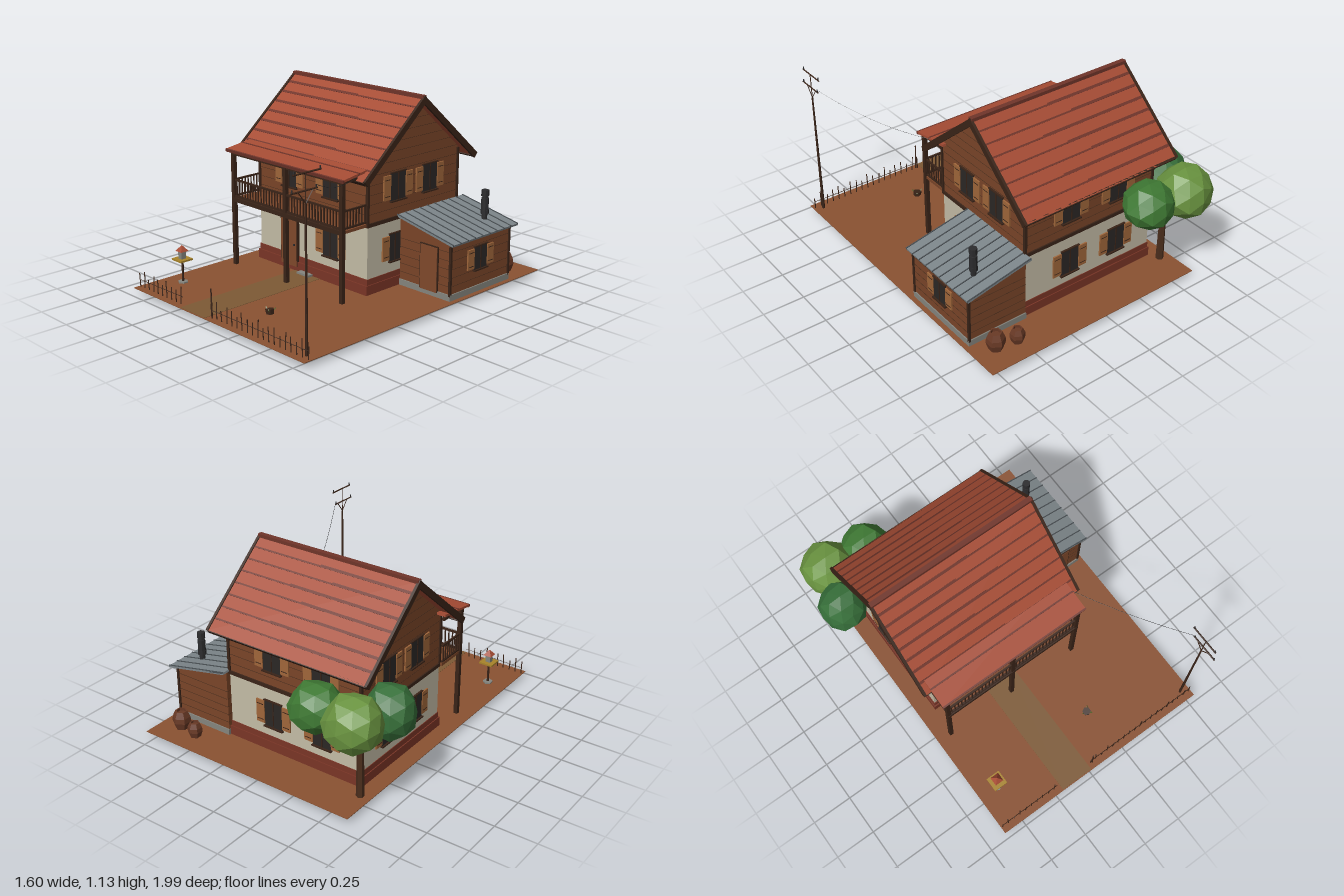
import * as THREE from 'three';

const C = {
  earth: 0x8a5232, path: 0x7d5a35, brick: 0x7a3526, plaster: 0xc4bca6, wood: 0x7a4528, dark: 0x3a2418,
  trim: 0x4a2d1c, tile: 0xa64c34, tileDark: 0x70352a, glass: 0x2b2725, shutter: 0xa0663a, door: 0x80492b,
  stone: 0x85857e, metal: 0x7c8589, metalDark: 0x4a5054, iron: 0x2c2c2e, yellow: 0xa8842a,
};
const mats = {};
const mat = (c) => (mats[c] ??= new THREE.MeshStandardMaterial({ color: c, flatShading: true }));

function mesh(parent, name, geo, color, x = 0, y = 0, z = 0) {
  const m = new THREE.Mesh(geo, mat(color));
  m.name = name;
  m.position.set(x, y, z);
  parent.add(m);
  return m;
}
// Box given by its limits on each axis
function box(p, name, color, x0, x1, y0, y1, z0, z1) {
  return mesh(p, name, new THREE.BoxGeometry(x1 - x0, y1 - y0, z1 - z0), color,
    (x0 + x1) / 2, (y0 + y1) / 2, (z0 + z1) / 2);
}
// Round or faceted bar between two points
function bar(p, name, color, a, b, r, sides = 5) {
  const A = new THREE.Vector3(...a), B = new THREE.Vector3(...b), d = B.clone().sub(A);
  const m = mesh(p, name, new THREE.CylinderGeometry(r, r, d.length(), sides), color);
  m.position.copy(A).add(B).multiplyScalar(0.5);
  m.quaternion.setFromUnitVectors(new THREE.Vector3(0, 1, 0), d.normalize());
  return m;
}
// Tilted slab whose top runs from (z0,y0) to (z1,y1)
function slab(p, name, color, x0, x1, [z0, y0], [z1, y1], t) {
  const a = Math.atan2(y0 - y1, z1 - z0), len = Math.hypot(z1 - z0, y1 - y0);
  const m = mesh(p, name, new THREE.BoxGeometry(x1 - x0, t, len), color, (x0 + x1) / 2,
    (y0 + y1) / 2 - Math.cos(a) * t / 2, (z0 + z1) / 2 - Math.sin(a) * t / 2);
  m.rotation.x = a;
  return m;
}
function group(parent, name) {
  const g = new THREE.Group();
  g.name = name;
  parent.add(g);
  return g;
}
// Shuttered window facing +z before turning
function windowUnit(p, x, y, z, turn, w = 0.12, h = 0.16) {
  const g = group(p, 'window');
  g.position.set(x, y, z);
  g.rotation.y = turn;
  box(g, 'glass', C.glass, -w / 2, w / 2, -h / 2, h / 2, -0.01, 0.006);
  box(g, 'mullion', C.dark, -0.003, 0.003, -h / 2, h / 2, 0, 0.009);
  box(g, 'sill', C.dark, -w / 2 - 0.006, w / 2 + 0.006, -h / 2 - 0.008, -h / 2, -0.01, 0.016);
  box(g, 'lintel', C.dark, -w / 2 - 0.004, w / 2 + 0.004, h / 2, h / 2 + 0.006, -0.01, 0.012);
  for (const s of [-1, 1]) {
    const c = s * (w / 2 + 0.03);
    box(g, 'shutter', C.shutter, c - 0.028, c + 0.028, -h / 2 + 0.01, h / 2 - 0.008, -0.01, 0.009);
    for (const v of [-0.3, 0.3]) box(g, 'hinge', C.dark, c - 0.02, c + 0.02, v * h - 0.002, v * h + 0.002, 0, 0.011);
  }
}

function house(root) {
  const g = group(root, 'house');
  box(g, 'foundation', C.brick, -0.53, 0.39, 0.034, 0.09, -0.665, 0.115);
  box(g, 'foundationCourse', C.brick, -0.524, 0.384, 0.09, 0.125, -0.659, 0.106);
  box(g, 'groundFloor', C.plaster, -0.52, 0.38, 0.1, 0.44, -0.655, 0.1);
  box(g, 'floorBand', C.dark, -0.528, 0.388, 0.43, 0.452, -0.663, 0.108);
  // Upper storey with both gables
  const s = new THREE.Shape([[-0.1, 0.45], [0.655, 0.45], [0.655, 0.782], [0.275, 1.108], [-0.1, 0.782]]
    .map(([u, v]) => new THREE.Vector2(u, v)));
  const upper = mesh(g, 'upperFloor', new THREE.ExtrudeGeometry(s, { depth: 0.9, bevelEnabled: false }), C.wood, -0.52);
  upper.rotation.y = Math.PI / 2;
  // Siding joints and corner boards
  for (let y = 0.5; y < 1.05; y += 0.055) {
    const half = y < 0.78 ? 0.377 : (1.1 - y) / 0.872;
    const zc = -0.277;
    box(g, 'sidingJoint', C.trim, -0.5215, 0.3815, y, y + 0.002, zc - half, zc + half);
    if (y < 0.76) box(g, 'sidingJoint', C.trim, -0.52, 0.38, y, y + 0.002, -0.657, 0.102);
  }
  for (const x of [-0.52, 0.38]) for (const z of [-0.655, 0.1])
    box(g, 'cornerBoard', C.dark, x - 0.008, x + 0.008, 0.45, 0.76, z - 0.008, z + 0.008);
  // Windows on all four sides
  for (const x of [-0.256, 0.09]) windowUnit(g, x, 0.62, 0.1, 0);
  windowUnit(g, 0.09, 0.268, 0.1, 0);
  for (const x of [-0.265, 0.07]) for (const y of [0.268, 0.62]) windowUnit(g, x, y, -0.655, Math.PI);
  for (const z of [-0.14, -0.408]) {
    windowUnit(g, 0.38, 0.628, z, Math.PI / 2);
    windowUnit(g, -0.52, 0.628, z, -Math.PI / 2);
    windowUnit(g, -0.52, 0.272, z, -Math.PI / 2);
  }
  windowUnit(g, 0.38, 0.272, -0.12, Math.PI / 2, 0.09);
  // Front door and step
  box(g, 'doorFrame', C.dark, -0.322, -0.178, 0.06, 0.35, 0.09, 0.117);
  box(g, 'door', C.door, -0.316, -0.184, 0.06, 0.344, 0.09, 0.121);
  box(g, 'doorHandle', C.iron, -0.205, -0.195, 0.19, 0.2, 0.12, 0.128);
  box(g, 'doorStep', C.stone, -0.15, -0.05, 0.034, 0.048, 0.115, 0.15);
}

function roof(root) {
  const g = group(root, 'mainRoof');
  const ridge = [-0.275, 1.122];
  for (const eave of [[0.195, 0.72], [-0.745, 0.72]]) {
    const at = (t, lift = 0) => [ridge[0] + (eave[0] - ridge[0]) * t, ridge[1] + (eave[1] - ridge[1]) * t + lift];
    const span = (name, c, x0, x1, a, b, t) => (a[0] < b[0] ? slab(g, name, c, x0, x1, a, b, t) : slab(g, name, c, x0, x1, b, a, t));
    span('roofSlope', C.tile, -0.612, 0.447, at(0), at(1), 0.02);
    // Shadowed course lines of uneven width
    for (let i = 1; i < 8; i++) {
      const t = i / 8;
      span('tileCourse', C.tileDark, -0.612, 0.447, at(t - 0.008, 0.002), at(t + 0.008, 0.002), 0.006);
      span('tileCourse', C.tileDark, -0.612, 0.1 - 0.12 * (i % 3), at(t - 0.018, 0.002), at(t, 0.002), 0.006);
    }
    for (const x of [-0.612, 0.447]) span('vergeBoard', C.dark, x - 0.008, x + 0.008, at(-0.005, 0.008), at(1.01, 0.008), 0.036);
    span('eaveBoard', C.dark, -0.612, 0.447, at(0.985), at(1.008), 0.026);
  }
  box(g, 'ridgeCap', C.tileDark, -0.615, 0.45, 1.112, 1.132, -0.29, -0.26);
}

function balcony(root) {
  const g = group(root, 'balcony');
  box(g, 'balconyFloor', C.wood, -0.54, 0.38, 0.435, 0.452, 0.1, 0.3);
  box(g, 'frontBeam', C.dark, -0.545, 0.384, 0.43, 0.455, 0.292, 0.304);
  box(g, 'topBeam', C.dark, -0.545, 0.384, 0.715, 0.735, 0.28, 0.3);
  for (const x of [-0.537, -0.084, 0.373]) {
    box(g, 'post', C.dark, x - 0.012, x + 0.012, 0.034, 0.735, 0.278, 0.302);
    box(g, 'rafter', C.dark, x - 0.008, x + 0.008, 0.72, 0.735, 0.1, 0.29);
  }
  for (const y of [0.462, 0.562]) {
    box(g, 'rail', C.dark, -0.537, 0.373, y - 0.005, y + 0.005, 0.284, 0.296);
    for (const x of [-0.537, 0.373]) box(g, 'sideRail', C.dark, x - 0.005, x + 0.005, y - 0.005, y + 0.005, 0.1, 0.29);
  }
  for (let i = 1; i < 38; i++) {
    const x = -0.537 + i * 0.024;
    box(g, 'baluster', C.dark, x - 0.003, x + 0.003, 0.455, 0.56, 0.287, 0.293);
  }
  for (const x of [-0.537, 0.373]) for (let i = 0; i < 8; i++) {
    const z = 0.115 + i * 0.023;
    box(g, 'baluster', C.dark, x - 0.003, x + 0.003, 0.455, 0.56, z - 0.003, z + 0.003);
  }
  slab(g, 'balconyRoof', C.tile, -0.575, 0.405, [0.06, 0.785], [0.318, 0.748], 0.014);
  slab(g, 'balconyRoofCourse', C.tileDark, -0.575, 0.405, [0.19, 0.769], [0.2, 0.7675], 0.006);
  slab(g, 'balconyRoofEdge', C.tileDark, -0.577, 0.407, [0.31, 0.75], [0.32, 0.748], 0.018);
}

function shed(root) {
  const g = group(root, 'shed');
  box(g, 'shedBase', C.stone, 0.388, 0.772, 0.034, 0.07, -0.682, -0.153);
  // Walls follow the pitch of the lean-to roof
  const s = new THREE.Shape([[0.39, 0.06], [0.765, 0.06], [0.765, 0.363], [0.39, 0.438]].map(([x, y]) => new THREE.Vector2(x, y)));
  mesh(g, 'shedWalls', new THREE.ExtrudeGeometry(s, { depth: 0.515, bevelEnabled: false }), C.wood, 0, 0, -0.675);
  for (let y = 0.115; y < 0.36; y += 0.05) box(g, 'sidingJoint', C.trim, 0.39, 0.767, y, y + 0.002, -0.677, -0.158);
  for (const z of [-0.675, -0.16]) box(g, 'cornerBoard', C.dark, 0.758, 0.772, 0.06, 0.36, z - 0.007, z + 0.007);
  box(g, 'shedDoorFrame', C.dark, 0.546, 0.68, 0.06, 0.33, -0.17, -0.152);
  box(g, 'shedDoor', C.door, 0.552, 0.674, 0.06, 0.324, -0.17, -0.149);
  windowUnit(g, 0.765, 0.236, -0.415, Math.PI / 2, 0.11, 0.135);
  // Ribbed sheet roof
  const r = group(g, 'shedRoof');
  r.position.set(0.588, 0.408, -0.426);
  r.rotation.z = Math.atan2(-0.085, 0.41);
  box(r, 'sheet', C.metal, -0.212, 0.212, -0.006, 0.006, -0.288, 0.288);
  for (let i = 0; i < 10; i++) {
    const z = -0.285 + i * 0.0633;
    box(r, 'seam', C.metalDark, -0.212, 0.213, 0, 0.01, z - 0.003, z + 0.003);
  }
  // Stove pipe
  for (const [rad, y0, y1] of [[0.016, 0.39, 0.57], [0.024, 0.43, 0.455], [0.022, 0.455, 0.525], [0.023, 0.535, 0.572]])
    bar(g, 'stovePipe', C.iron, [0.66, y0, -0.577], [0.66, y1, -0.577], rad, 8);
}

function yard(root) {
  const g = group(root, 'yard');
  box(g, 'ground', C.earth, -0.63, 0.8, 0.03, 0.034, -0.93, 0.97);
  box(g, 'path', C.path, -0.2, 0.01, 0.032, 0.036, 0.115, 0.965);
  // Picket fence in two runs with a gap for the path
  for (const [x0, x1] of [[-0.62, -0.22], [0.03, 0.79]]) {
    for (let x = x0, i = 0; x <= x1; x += 0.042, i++) {
      const top = 0.115 + 0.02 * Math.sin(i * 2.3);
      bar(g, 'picket', C.dark, [x, 0.034, 0.93], [x + 0.004 * Math.sin(i * 5), top, 0.93 + 0.004 * Math.cos(i * 3)], 0.0035, 4);
    }
    bar(g, 'fenceRail', C.dark, [x0, 0.075, 0.93], [x1, 0.08, 0.93], 0.002, 4);
  }
  bar(g, 'gatePost', C.dark, [0.04, 0.034, 0.935], [0.035, 0.2, 0.935], 0.005, 4);
  // Bird table
  const b = group(g, 'birdTable');
  b.position.set(-0.505, 0, 0.715);
  bar(b, 'foot', C.stone, [0, 0.034, 0], [0, 0.042, 0], 0.03, 6);
  bar(b, 'stand', C.dark, [0, 0.034, 0], [0, 0.175, 0], 0.007);
  box(b, 'tray', C.yellow, -0.043, 0.043, 0.17, 0.18, -0.043, 0.043);
  box(b, 'birdHouse', C.stone, -0.016, 0.016, 0.18, 0.225, -0.016, 0.016);
  const cap = mesh(b, 'birdHouseRoof', new THREE.ConeGeometry(0.038, 0.035, 4), C.tile, 0, 0.243, 0);
  cap.rotation.y = Math.PI / 4;
  // Stump with roots
  const stump = mesh(g, 'stump', new THREE.CylinderGeometry(0.026, 0.02, 0.05, 6), C.dark, 0.205, 0.035, 0.67);
  stump.rotation.z = 0.15;
  for (let i = 0; i < 6; i++)
    bar(g, 'stumpShoot', 0x5f6a30, [0.205, 0.03, 0.67], [0.205 + 0.034 * Math.cos(i * 1.05), i % 2 ? 0.065 : 0.002, 0.67 + 0.03 * Math.sin(i * 1.05)], 0.004, 4);
  // Barrels behind the shed
  for (const [x, z, k] of [[0.54, -0.8, 0.8], [0.665, -0.775, 1]]) {
    const pts = [[0, 0], [0.04, 0], [0.055, 0.045], [0.052, 0.075], [0.036, 0.112], [0.028, 0.112], [0.028, 0.095], [0, 0.095]];
    const m = mesh(g, 'barrel', new THREE.LatheGeometry(pts.map(([r, y]) => new THREE.Vector2(r, y)), 6), 0x6a3a26, x, 0.034, z);
    m.scale.setScalar(k);
  }
}

function tree(root) {
  const g = group(root, 'tree');
  mesh(g, 'trunk', new THREE.CylinderGeometry(0.017, 0.024, 0.4, 6), C.trim, -0.565, 0.23, -0.725);
  bar(g, 'branch', C.trim, [-0.565, 0.34, -0.725], [-0.4, 0.48, -0.8], 0.013);
  const blobs = [[-0.6, 0.55, -0.83, 0.17, 0.165, 0x6a9440], [-0.35, 0.55, -0.81, 0.155, 0.145, 0x3f7a34], [-0.66, 0.525, -0.59, 0.15, 0.165, 0x37703a]];
  for (const [x, y, z, r, ry, color] of blobs) {
    const geo = new THREE.IcosahedronGeometry(1, 1), p = geo.attributes.position;
    for (let i = 0; i < p.count; i++) {
      const k = 0.96 + 0.05 * Math.sin(7 * p.getX(i) + 5 * p.getY(i) + 9 * p.getZ(i));
      p.setXYZ(i, p.getX(i) * k, p.getY(i) * k, p.getZ(i) * k);
    }
    geo.scale(r, ry, r);
    geo.computeVertexNormals();
    mesh(g, 'foliage', geo, color, x, y, z);
  }
}

function utilityPole(root) {
  const g = group(root, 'utilityPole');
  const x = 0.745, z = 0.903;
  mesh(g, 'pole', new THREE.CylinderGeometry(0.005, 0.009, 0.786, 6), C.dark, x, 0.427, z);
  bar(g, 'poleTop', C.dark, [x, 0.81, z], [x, 0.975, z], 0.003, 4);
  for (const [y, z0, z1] of [[0.973, 0.8, 0.985], [0.885, 0.825, 1.0]]) {
    bar(g, 'crossArm', C.dark, [x, y, z0], [x, y, z1], 0.005, 4);
    for (const e of [z0 + 0.008, z1 - 0.008]) bar(g, 'insulator', C.iron, [x, y, e], [x, y + 0.018, e], 0.004);
  }
  for (const s of [-1, 1]) bar(g, 'brace', C.dark, [x, 0.82, z], [x, 0.885, z + s * 0.05], 0.003, 4);
  // Sagging wire to the eave
  const wire = new THREE.QuadraticBezierCurve3(new THREE.Vector3(x, 0.9, 0.83), new THREE.Vector3(0.57, 0.75, 0.5), new THREE.Vector3(0.4, 0.76, 0.18));
  mesh(g, 'wire', new THREE.TubeGeometry(wire, 20, 0.0012, 4), C.iron);
}

export function createModel() {
  const root = new THREE.Group();
  root.name = 'farmhouse';
  for (const part of [yard, house, roof, balcony, shed, tree, utilityPole]) part(root);
  return root;
}
